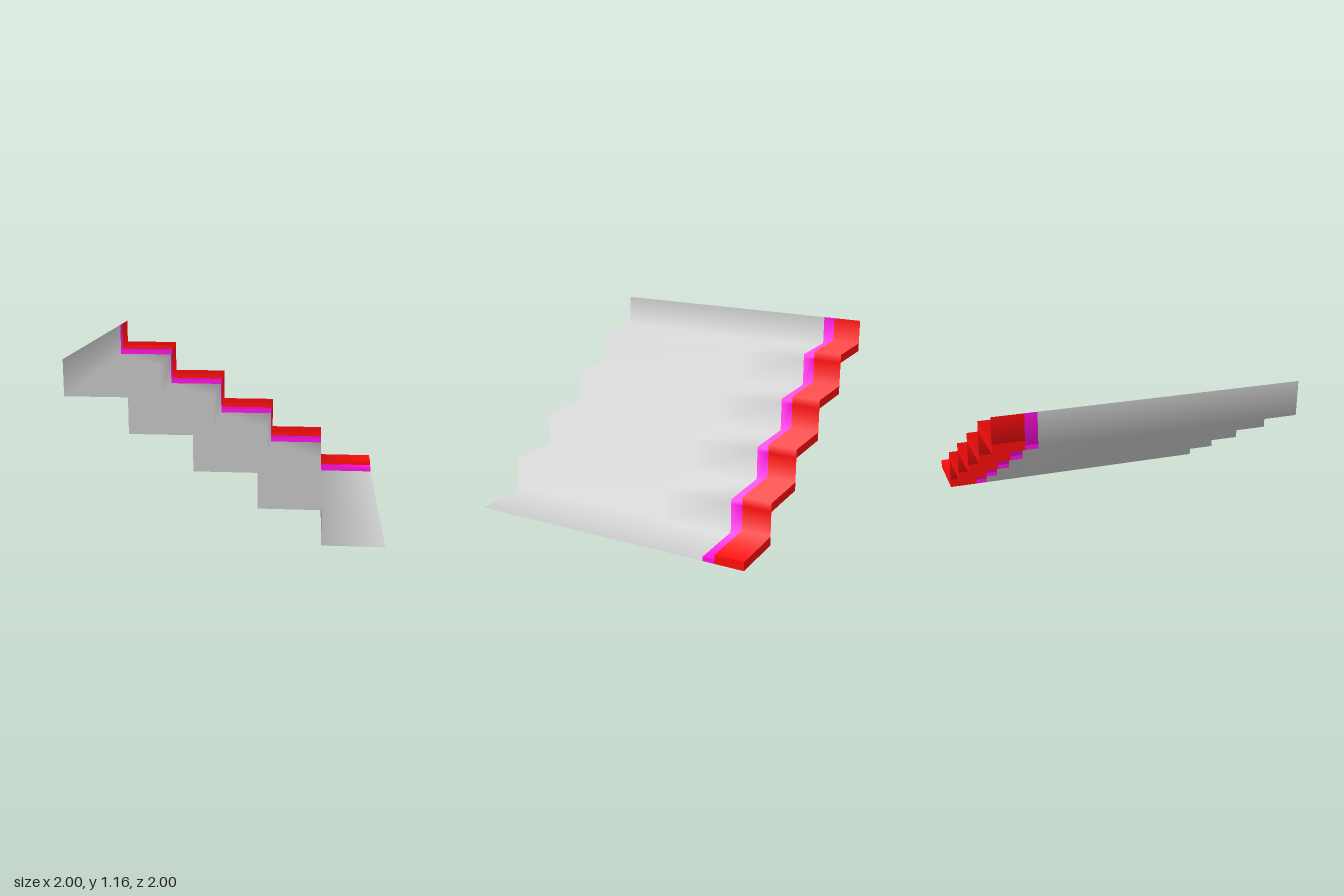
import * as THREE from 'three';

const STEPS = 5, RUN = 0.4, RISE = 0.2315;
const keyOf = (p) => p.map((v) => Math.round(v * 1000)).join();

// Panel helpers facing +x, +y and +z (-z when x0 > x1); smooth panels share normals
const wallX = (x, y0, y1, z0, z1, smooth) => ({
  corners: [[x, y0, z1], [x, y0, z0], [x, y1, z0], [x, y1, z1]], normal: [1, 0, 0], smooth,
});
const floorY = (y, x0, x1, z0, z1) => ({
  corners: [[x1, y, z1], [x1, y, z0], [x0, y, z0], [x0, y, z1]], normal: [0, 1, 0], smooth: true,
});
const wallZ = (z, x0, x1, y0, y1) => ({
  corners: [[x0, y0, z], [x1, y0, z], [x1, y1, z], [x0, y1, z]],
  normal: [0, 0, Math.sign(x1 - x0)], smooth: false,
});

// Strip of stairs between z0 and z1, its treads raised by h;
// front and back lips run from the given height up to the tread
function stairPanels(z0, z1, h, frontFrom = null, backFrom = null) {
  const panels = [];
  for (let i = 0; i < STEPS; i++) {
    const x1 = 1 - i * RUN, x0 = x1 - RUN, y = i * RISE;
    panels.push(floorY(y + h, x0, x1, z0, z1));
    panels.push(wallX(x0, y + h, y + RISE, z0, z1, true));
    if (h > 0) {
      panels.push(wallX(x1, y, y + h, z0, z1, i > 0)); // nosing above the riser
      panels.push(wallX(x0, y, y + h, z0, z1, false)); // foot of the riser
    }
    if (frontFrom !== null) panels.push(wallZ(z1, x0, x1, y + frontFrom, y + h));
    if (backFrom !== null) panels.push(wallZ(z0, x1, x0, y + backFrom, y + h));
  }
  return panels;
}

// Adds up the normals of the smooth panels meeting at each corner
function sharedNormals(panels) {
  const sums = new Map();
  for (const { corners, normal, smooth } of panels) {
    if (!smooth) continue;
    for (const p of corners) {
      const key = keyOf(p);
      if (!sums.has(key)) sums.set(key, new THREE.Vector3());
      sums.get(key).add(new THREE.Vector3(...normal));
    }
  }
  sums.forEach((n) => n.normalize());
  return sums;
}

// Thin sheet made of four-cornered panels
function sheet(name, color, panels, normals) {
  const pos = [], nor = [];
  for (const { corners, normal, smooth } of panels) {
    for (const i of [0, 1, 2, 0, 2, 3]) {
      pos.push(...corners[i]);
      nor.push(...(smooth ? normals.get(keyOf(corners[i])).toArray() : normal));
    }
  }
  const geo = new THREE.BufferGeometry();
  geo.setAttribute('position', new THREE.Float32BufferAttribute(pos, 3));
  geo.setAttribute('normal', new THREE.Float32BufferAttribute(nor, 3));
  const mesh = new THREE.Mesh(geo, new THREE.MeshStandardMaterial({ color, side: THREE.DoubleSide }));
  mesh.name = name;
  return mesh;
}

export function createModel() {
  const model = new THREE.Group();
  model.name = 'steppedTerrace';
  const parts = [
    ['steps', 0xcccccc, [...stairPanels(-0.2, 1, 0), ...stairPanels(-0.72, -0.2, 0)]],
    ['lowerBorder', 0xff10e0, stairPanels(-0.8, -0.72, 0.03, 0)],
    ['upperBorder', 0xff0d0d, stairPanels(-1, -0.8, 0.06, 0.03, 0)],
  ];
  // Folds are shaded softly across all three parts
  const normals = sharedNormals(parts.flatMap(([, , panels]) => panels));
  for (const [name, color, panels] of parts) model.add(sheet(name, color, panels, normals));
  return model;
}
